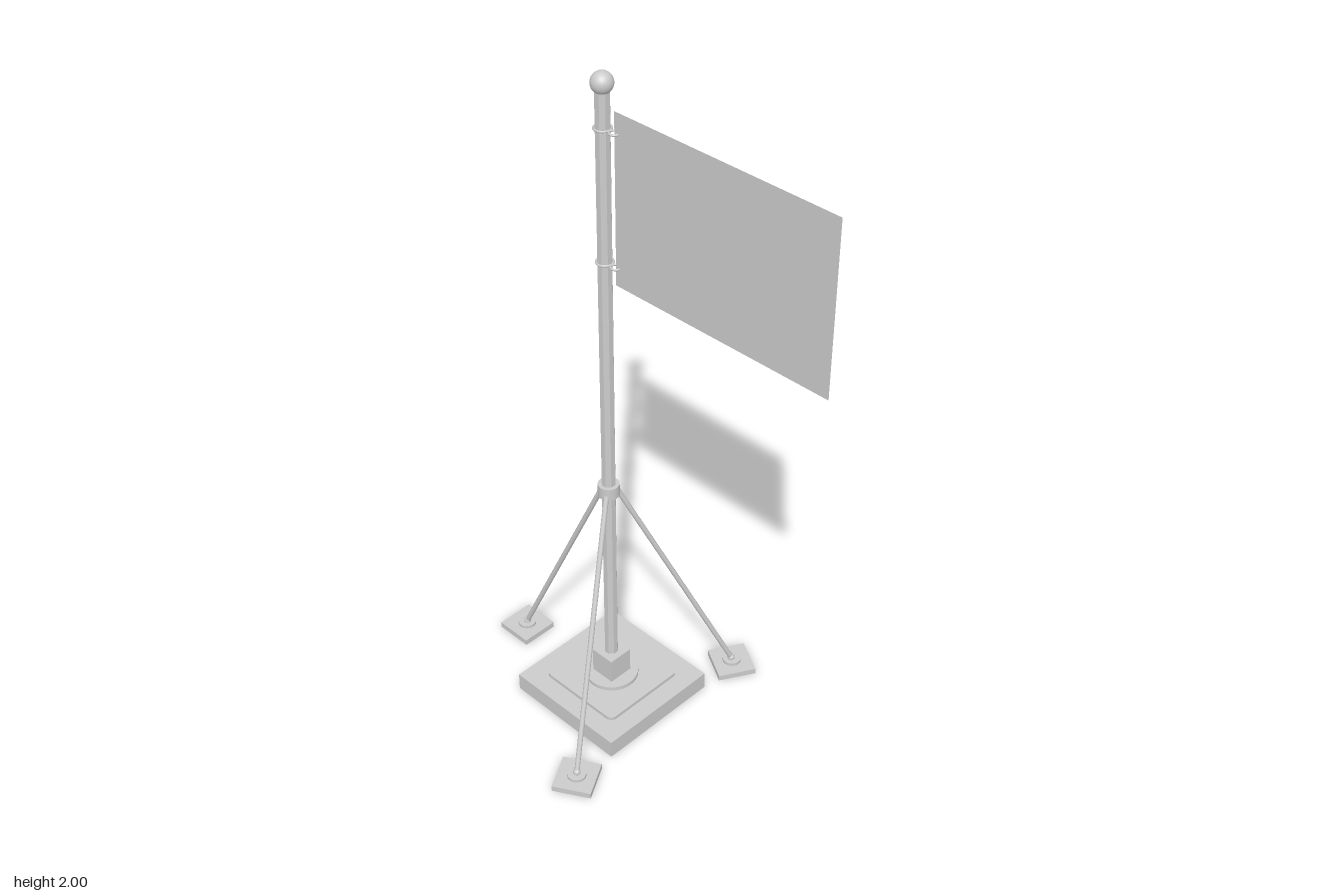
import * as THREE from 'three';

const POLE_Z = -0.147;
const grey = new THREE.MeshStandardMaterial({ color: 0xcccccc });
const flat = new THREE.MeshStandardMaterial({ color: 0xcccccc, flatShading: true });
const thin = new THREE.MeshStandardMaterial({ color: 0xcccccc, side: THREE.DoubleSide });

function add(parent, name, geometry, material, x = 0, y = 0, z = 0) {
  const mesh = new THREE.Mesh(geometry, material);
  mesh.name = name;
  mesh.position.set(x, y, z);
  parent.add(mesh);
  return mesh;
}

// Square slab with rounded corners, lying flat with its underside at y = 0
function roundedSlab(size, radius, height) {
  const h = size / 2, c = h - radius;
  const s = new THREE.Shape();
  s.moveTo(-c, -h);
  s.absarc(c, -c, radius, -Math.PI / 2, 0);
  s.absarc(c, c, radius, 0, Math.PI / 2);
  s.absarc(-c, c, radius, Math.PI / 2, Math.PI);
  s.absarc(-c, -c, radius, Math.PI, Math.PI * 1.5);
  return new THREE.ExtrudeGeometry(s, { depth: height, bevelEnabled: false, curveSegments: 6 })
    .rotateX(-Math.PI / 2);
}

// Stay rod with its foot, reaching out along +z
function createStay() {
  const stay = new THREE.Group();
  stay.name = 'stay';
  const top = new THREE.Vector3(0, 0.765, 0.02);
  const foot = new THREE.Vector3(0, 0.03, 0.37);
  const rod = new THREE.LineCurve3(top, foot);
  add(stay, 'stayRod', new THREE.TubeGeometry(rod, 1, 0.0075, 10), grey);
  add(stay, 'stayJoint', new THREE.SphereGeometry(0.011, 12, 8), grey, 0, foot.y, foot.z);
  add(stay, 'footDisc', new THREE.CylinderGeometry(0.027, 0.027, 0.009, 24), grey, 0, 0.0225, 0.372);
  add(stay, 'footPlate', new THREE.BoxGeometry(0.114, 0.018, 0.114), grey, 0, 0.009, 0.372);
  return stay;
}

export function createModel() {
  const model = new THREE.Group();
  model.name = 'flagStand';
  const stand = new THREE.Group();
  stand.name = 'stand';
  stand.position.z = POLE_Z;
  model.add(stand);

  // Stepped base and socket
  add(stand, 'basePlate', new THREE.BoxGeometry(0.388, 0.056, 0.388), grey, 0, 0.028, 0);
  add(stand, 'upperPlate', roundedSlab(0.274, 0.02, 0.011), grey, 0, 0.056, 0);
  add(stand, 'baseDisc', new THREE.CylinderGeometry(0.078, 0.078, 0.012, 40), grey, 0, 0.073, 0);
  add(stand, 'poleSocket', new THREE.BoxGeometry(0.077, 0.079, 0.077), grey, 0, 0.1185, 0);

  // Octagonal pole with collar and ball
  const poleRadius = 0.02;
  const pole = add(stand, 'pole', new THREE.CylinderGeometry(poleRadius, poleRadius, 1.83, 8), flat, 0, 1.055, 0);
  pole.rotation.y = Math.PI / 8;
  add(stand, 'collar', new THREE.CylinderGeometry(0.03, 0.03, 0.037, 24), grey, 0, 0.764, 0);
  add(stand, 'poleBall', new THREE.SphereGeometry(0.029, 24, 16), grey, 0, 1.971, 0);

  // Three stays: one behind, two to the front sides
  for (let i = 0; i < 3; i++) {
    const stay = createStay();
    stay.rotation.y = Math.PI + i * Math.PI * 2 / 3;
    stand.add(stay);
  }

  // Rings that tie the flag to the pole
  for (const y of [1.487, 1.855]) {
    const poleRing = add(stand, 'poleRing', new THREE.TorusGeometry(0.022, 0.003, 8, 24), grey, 0, y, 0);
    const flagRing = add(stand, 'flagRing', new THREE.TorusGeometry(0.013, 0.003, 8, 20), grey, 0, y, 0.038);
    poleRing.rotation.x = flagRing.rotation.x = Math.PI / 2;
  }

  // Flag sheet
  const flag = add(model, 'flag', new THREE.PlaneGeometry(0.683, 0.477), thin, 0, 1.6735, 0.2335);
  flag.rotation.y = Math.PI / 2;

  return model;
}
